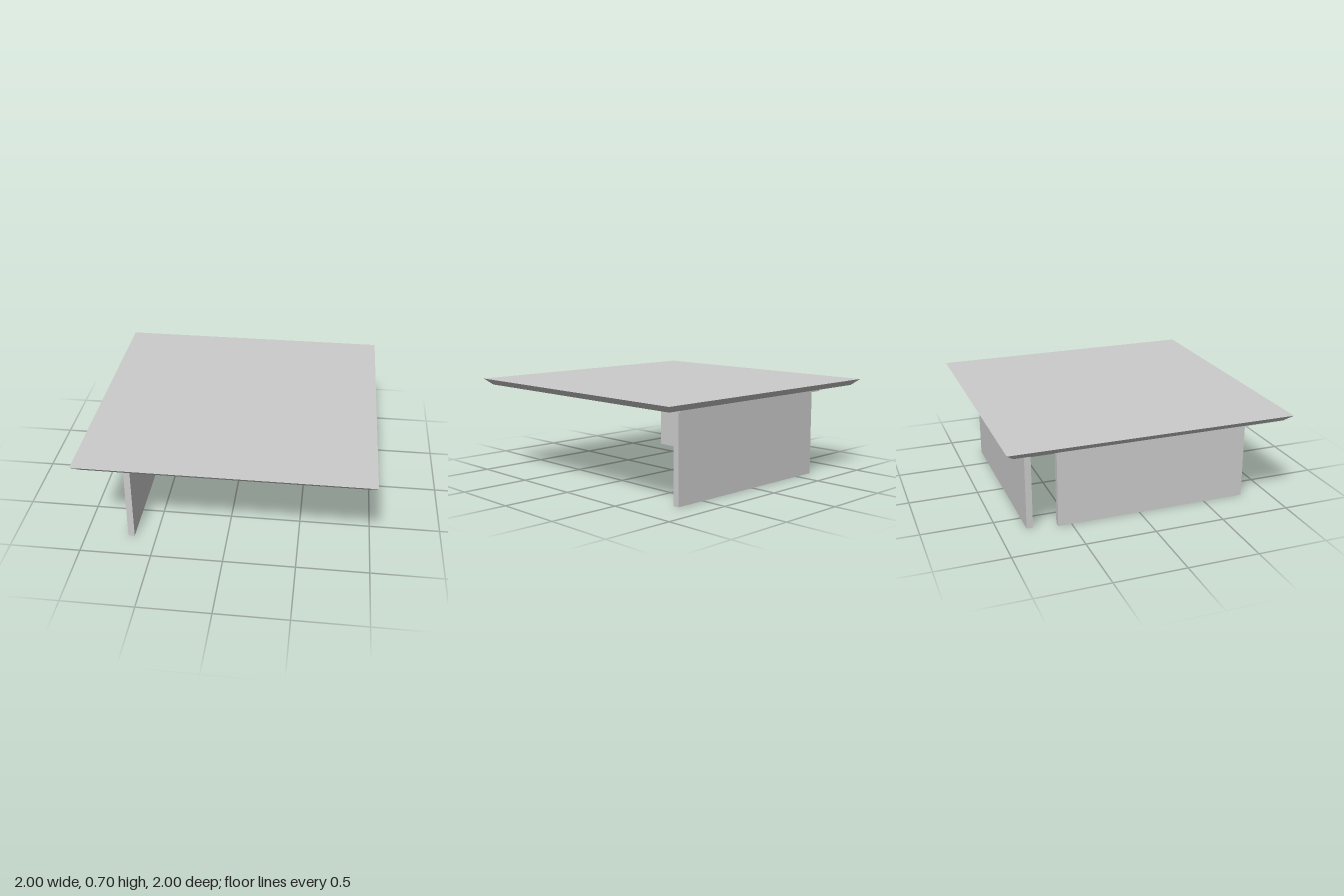
import * as THREE from 'three';

export function createModel() {
  const group = new THREE.Group();
  const grey = new THREE.MeshStandardMaterial({ color: 0xcccccc });
  grey.name = 'light grey';

  const add = (name, geometry, x, y, z) => {
    const mesh = new THREE.Mesh(geometry, grey);
    mesh.name = name;
    mesh.position.set(x, y, z);
    group.add(mesh);
  };

  // Square top whose edge is undercut all the way round
  const top = new THREE.BoxGeometry(2, 0.045, 2);
  const p = top.attributes.position;
  for (let i = 0; i < p.count; i++) {
    if (p.getY(i) < 0) p.setXYZ(i, p.getX(i) * 0.95, p.getY(i), p.getZ(i) * 0.95);
  }
  top.computeVertexNormals();
  add('tableTop', top, 0, 0.6775, 0);

  // Two upright panels, set at right angles, each under a mounting plate
  const thick = 0.045, panelHeight = 0.625, plateHeight = 0.031;
  const supports = [
    { name: 'side', x: -0.678, z: 0.102, w: thick, d: 1.396 },
    { name: 'back', x: 0.034, z: -0.785, w: 1.39, d: thick },
  ];
  for (const s of supports) {
    const alongX = s.w > s.d;
    add(s.name + 'Panel', new THREE.BoxGeometry(s.w, panelHeight, s.d), s.x, panelHeight / 2, s.z);
    add(
      s.name + 'MountingPlate',
      new THREE.BoxGeometry(s.w + (alongX ? 0.06 : 0.092), plateHeight, s.d + (alongX ? 0.092 : 0.06)),
      s.x, panelHeight + plateHeight / 2 - 0.001, s.z
    );
  }
  return group;
}
